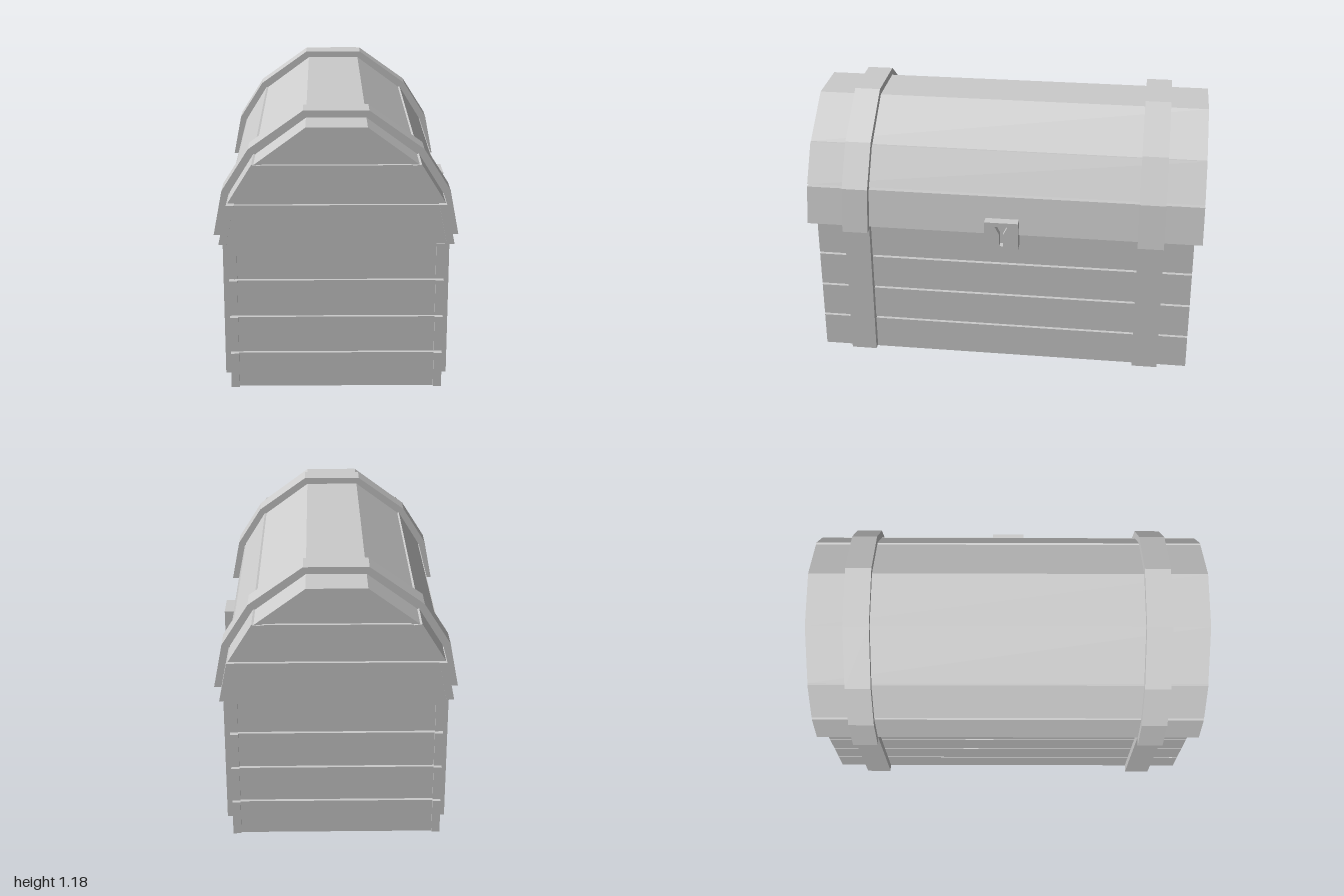
import * as THREE from 'three';

const material = new THREE.MeshStandardMaterial({ color: 0xcccccc });

function add(parent, name, geometry, x = 0, y = 0, z = 0) {
  const mesh = new THREE.Mesh(geometry, material);
  mesh.name = name;
  mesh.position.set(x, y, z);
  parent.add(mesh);
  return mesh;
}

// Extrudes a (z, y) cross-section along x, centred on x = 0
function prism(points, length) {
  const shape = new THREE.Shape(points.map(([z, y]) => new THREE.Vector2(z, y)));
  const geometry = new THREE.ExtrudeGeometry(shape, { depth: length, bevelEnabled: false });
  geometry.translate(0, 0, -length / 2);
  return geometry.rotateY(-Math.PI / 2);
}

// Completes a half profile (rising on +z) with its mirror image
const mirrored = (half) => [...half, ...half.map(([z, y]) => [-z, y]).reverse()];

export function createModel() {
  const chest = new THREE.Group();
  chest.name = 'chest';
  chest.rotation.y = Math.PI - 0.64;

  // Box: a core with four rows of boards around it
  const body = new THREE.Group();
  body.name = 'body';
  chest.add(body);
  add(body, 'bodyCore', new THREE.BoxGeometry(1.65, 0.655, 0.86), 0, 0.3285, 0);
  const row = 0.165;
  for (let i = 0; i < 4; i++) {
    const height = row - 0.01;
    const y = i * row + height / 2;
    for (const s of [-1, 1]) {
      add(body, 'sideBoard', new THREE.BoxGeometry(1.7, height, 0.035), 0, y, s * 0.4325);
      add(body, 'endBoard', new THREE.BoxGeometry(0.03, height, 0.83), s * 0.825, y, 0);
    }
  }

  // Lid: recessed core, end boards in three tiers, overlapping outer boards
  const lid = new THREE.Group();
  lid.name = 'lid';
  chest.add(lid);
  add(lid, 'lidCore', prism(mirrored([[0.45, 0.665], [0.42, 0.83], [0.315, 0.99], [0.11, 1.13]]), 1.72));
  const tiers = [
    [[0.456, 0.66], [0.421, 0.826]],
    [[0.412, 0.838], [0.314, 0.995]],
    [[0.308, 1.004], [0.114, 1.125]],
  ];
  for (const tier of tiers) add(lid, 'lidEndBoards', prism(mirrored(tier), 1.75));

  const boards = [
    [[0.486, 0.66], [0.452, 0.828], [0.42, 0.828], [0.454, 0.66]],
    [[0.446, 0.837], [0.345, 1.0], [0.31, 0.995], [0.41, 0.837]],
  ];
  for (const s of [-1, 1]) {
    for (const board of boards) {
      add(lid, 'lidBoard', prism(board.map(([z, y]) => [s * z, y]), 1.77));
    }
  }
  const crown = [[0.336, 1.0], [0.125, 1.155]];
  const crownInside = [[0.305, 1.0], [0.115, 1.125]];
  add(lid, 'lidCrown', prism([...mirrored(crown), ...mirrored(crownInside).reverse()], 1.77));

  // Straps: upright bands on the box and an arched band over the lid
  const archOutside = [[0.52, 0.645], [0.482, 0.84], [0.368, 1.02], [0.137, 1.185]];
  const archInside = [[0.47, 0.645], [0.44, 0.83], [0.335, 0.995], [0.12, 1.145]];
  const arch = prism([...mirrored(archOutside), ...mirrored(archInside).reverse()], 0.115);
  for (const x of [-0.66, 0.66]) {
    add(chest, 'lidStrap', arch, x);
    for (const s of [-1, 1]) {
      add(chest, 'bodyStrap', new THREE.BoxGeometry(0.115, 0.645, 0.05), x, 0.3275, s * 0.458);
    }
  }

  // Lock plate with a keyhole
  const plate = new THREE.Shape();
  plate.moveTo(-0.075, 0.595).lineTo(0.075, 0.595).lineTo(0.075, 0.73).lineTo(-0.075, 0.73).closePath();
  const keyhole = new THREE.Path();
  keyhole.moveTo(-0.028, 0.71).lineTo(0.028, 0.71).lineTo(0.008, 0.67)
    .lineTo(0.008, 0.615).lineTo(-0.008, 0.615).lineTo(-0.008, 0.67).closePath();
  plate.holes.push(keyhole);
  const lock = new THREE.Group();
  lock.name = 'lock';
  chest.add(lock);
  add(lock, 'lockPlate', new THREE.ExtrudeGeometry(plate, { depth: 0.03, bevelEnabled: false }), 0, 0, 0.485);
  add(lock, 'lockBack', new THREE.BoxGeometry(0.15, 0.135, 0.05), 0, 0.6625, 0.461);

  const model = new THREE.Group();
  model.name = 'model';
  model.add(chest);
  return model;
}
